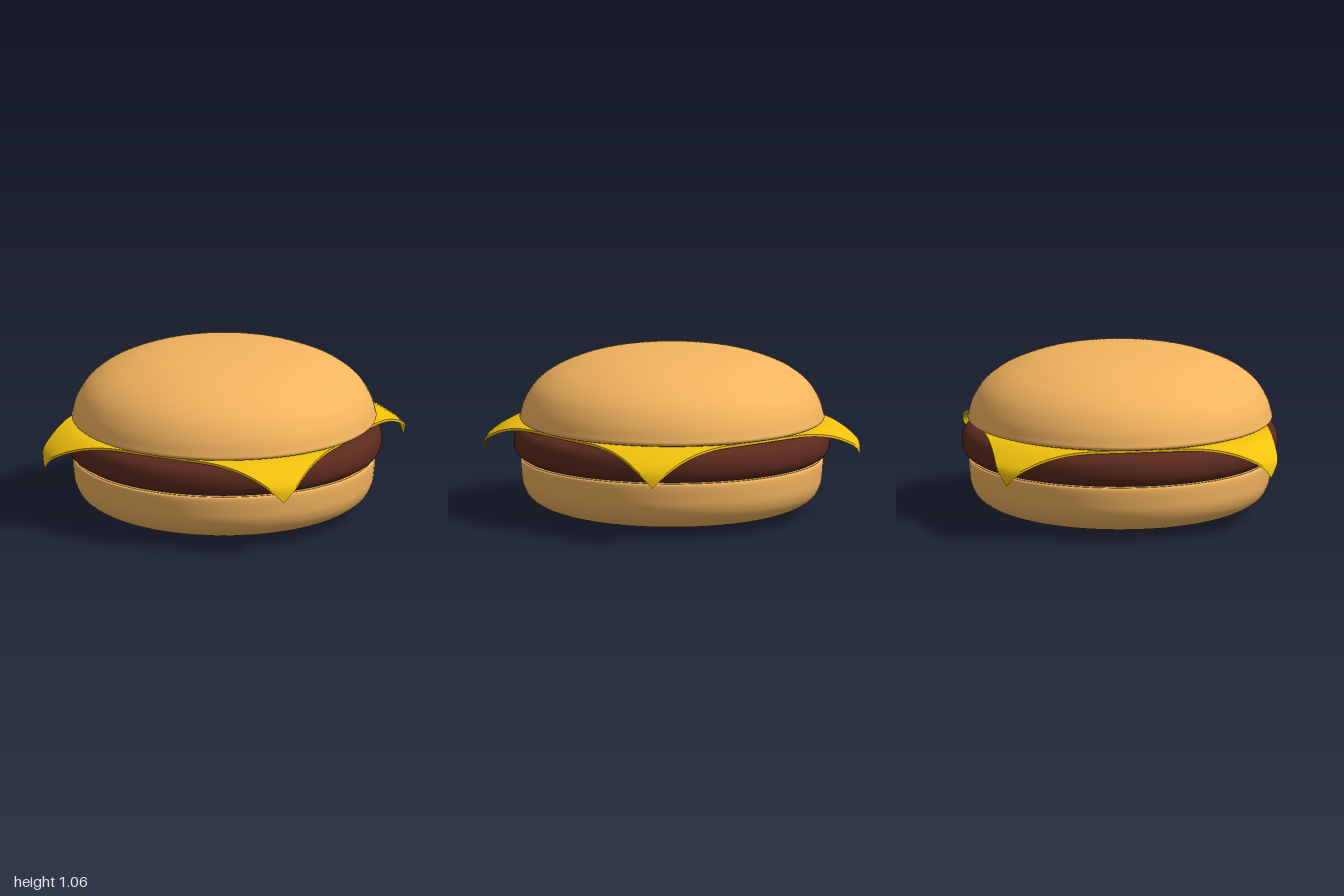
import * as THREE from 'three';
import { toCreasedNormals } from 'three/addons/utils/BufferGeometryUtils.js';

const material = (color) => new THREE.MeshStandardMaterial({ color });

// Smooth round body from a few [radius, height] points, listed bottom to top
function roundPart(name, profile, mat) {
  const curve = new THREE.SplineCurve(profile.map(([r, y]) => new THREE.Vector2(r, y)));
  const points = curve.getPoints(64).map((p) => p.setX(Math.max(p.x, 0)));
  points[0].x = points[points.length - 1].x = 0;
  const mesh = new THREE.Mesh(new THREE.LatheGeometry(points, 96), mat);
  mesh.name = name;
  return mesh;
}

// Thin square slice whose corners droop over the patty
function cheeseSlice() {
  const geometry = new THREE.BoxGeometry(1.8, 0.016, 1.8, 48, 1, 48);
  const pos = geometry.attributes.position;
  for (let i = 0; i < pos.count; i++) {
    const x = pos.getX(i), z = pos.getZ(i);
    const r = Math.hypot(x, z);
    const drop = 0.2 * Math.pow(Math.max(0, (r - 0.94) / 0.33), 1.8);
    // Past the patty rim the slice hangs almost straight down
    const reach = r > 1.15 ? 1.15 + 0.045 * Math.tanh((r - 1.15) / 0.045) : r;
    const k = r > 0 ? reach / r : 1;
    pos.setXYZ(i, x * k, pos.getY(i) + 0.594 - drop, z * k);
  }
  const mesh = new THREE.Mesh(toCreasedNormals(geometry, Math.PI / 4), material(0xf2c20c));
  mesh.name = 'cheeseSlice';
  return mesh;
}

export function createModel() {
  const group = new THREE.Group();
  group.name = 'burger';
  const bread = material(0xf4b55f);

  group.add(
    roundPart('bottomBun', [
      [0, 0.004], [0.25, 0.008], [0.5, 0.022], [0.7, 0.045], [0.82, 0.078], [0.9, 0.13],
      [0.94, 0.2], [0.953, 0.28], [0.957, 0.35], [0.945, 0.367], [0.9, 0.372], [0.5, 0.374], [0, 0.374],
    ], bread),
    roundPart('patty', [
      [0, 0.37], [0.5, 0.37], [0.88, 0.372], [0.95, 0.384], [0.988, 0.42], [1, 0.477],
      [0.988, 0.535], [0.95, 0.571], [0.88, 0.583], [0.5, 0.585], [0, 0.585],
    ], material(0x5c2a1d)),
    cheeseSlice(),
    roundPart('topBun', [
      [0, 0.598], [0.5, 0.6], [0.87, 0.603], [0.94, 0.609], [0.963, 0.625], [0.958, 0.655], [0.935, 0.73],
      [0.88, 0.822], [0.8, 0.895], [0.7, 0.952], [0.55, 1.008], [0.38, 1.043], [0.18, 1.061], [0, 1.065],
    ], bread),
  );
  return group;
}
